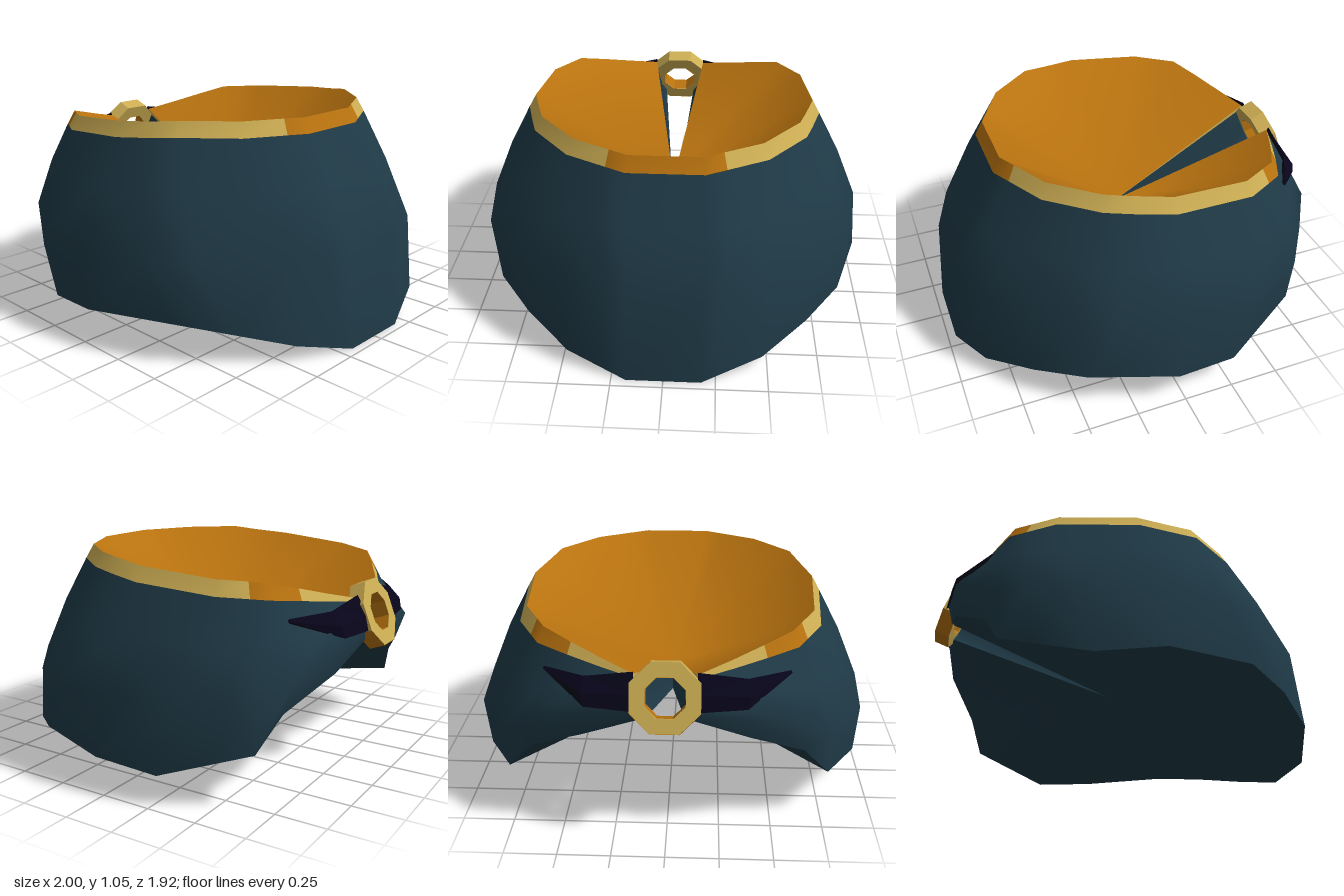
import * as THREE from 'three';
import { mergeVertices } from 'three/addons/utils/BufferGeometryUtils.js';

const mat = (name, color, side = THREE.FrontSide) => {
  const m = new THREE.MeshStandardMaterial({ color, side });
  m.name = name;
  return m;
};

// Left half, front to back slit: rim, widest part of the wall, bottom edge
const guides = [
  [[.17, 1.05, .63], [.18, .47, .92], [.18, 0, .96]],
  [[.44, 1.05, .49], [.47, .47, .82], [.47, .085, .86]],
  [[.62, 1.05, .28], [.79, .47, .55], [.69, .155, .67]],
  [[.66, 1.035, .15], [.925, .47, .34], [.865, .198, .455]],
  [[.71, 1.02, -.02], [.98, .47, -.02], [1, .18, .04]],
  [[.68, .99, -.40], [.955, .45, -.36], [.96, .145, -.27]],
  [[.565, .975, -.60], [.78, .50, -.67], [.77, .26, -.66]],
  [[.43, .937, -.68], [.64, .58, -.77], [.64, .42, -.725]],
  [[.29, .898, -.755], [.49, .67, -.86], [.38, .56, -.85]],
  [[.14, .86, -.83], [.12, .73, -.90], [.085, .67, -.88]],
];
const FUNNEL = new THREE.Vector3(0, .52, -.03);
const HOLLOW = new THREE.Vector3(0, .36, -.03);

// Full section: adds the trim's lower edge, which narrows to the slit, and a bulged upper wall
const half = guides.map((points, i) => {
  const [rim, wide, bottom] = points.map(p => new THREE.Vector3(...p));
  const width = Math.min(1, 1 - .26 * (i - 6));
  const trim = new THREE.Vector3(rim.x, 0, rim.z).setLength(.04 * width).add(rim);
  trim.y -= .07 * width;
  const bulge = trim.clone().lerp(wide, .45).multiply(new THREE.Vector3(1.015, 1, 1.015));
  return [rim, trim, bulge, wide, bottom];
});

// Extra section between two neighbours, where the trim changes colour
const between = (i, t) => half[i].map((p, k) => p.clone().lerp(half[i + 1][k], t));
const left = [half[0], between(0, .33), ...half.slice(1, 6), between(5, .63), ...half.slice(6)];
const mirror = p => new THREE.Vector3(-p.x, p.y, p.z);
const columns = [...left.map(c => c.map(mirror)).reverse(), ...left];
const ring = k => columns.map(c => c[k]);

// Smooth surface through rows of points, welded where points meet
function strip(rows) {
  const n = rows[0].length, index = [];
  for (let i = 0; i < rows.length - 1; i++) {
    for (let j = 0; j < n - 1; j++) {
      const a = i * n + j, b = a + n;
      index.push(a, b, a + 1, a + 1, b, b + 1);
    }
  }
  const g = new THREE.BufferGeometry().setFromPoints(rows.flat());
  g.setIndex(index);
  const welded = mergeVertices(g);
  welded.computeVertexNormals();
  return welded;
}

export function createModel() {
  const teal = mat('teal cloth', 0x1f3a47);
  const orange = mat('orange lining', 0xb8720f, THREE.DoubleSide);
  const gold = mat('gold trim', 0xcdae54);
  const navy = mat('navy ties', 0x08051a, THREE.DoubleSide);
  const model = new THREE.Group();
  const add = (name, geo, material, parent = model) => {
    const m = new THREE.Mesh(geo, material);
    m.name = name;
    parent.add(m);
    return m;
  };

  // Body: outer wall, funnel lining and hollow underside
  add('outerWall', strip([ring(1), ring(2), ring(3), ring(4)]), teal);
  add('lining', strip([columns.map(() => FUNNEL), ring(0)]), orange);
  add('underside', strip([ring(4), columns.map(() => HOLLOW)]), teal);

  // Walls of the back slit, edged in gold along the top
  const slitWall = (side, column, flip) => {
    const face = (points, ends) => strip(flip ? [ends, points] : [points, ends]);
    add('slitWall' + side, face(column.slice(1), [FUNNEL, FUNNEL, HOLLOW, HOLLOW]), teal);
    add('slitEdge' + side, face(column.slice(0, 2), [FUNNEL, FUNNEL]), gold);
  };
  slitWall('Right', columns[0], false);
  slitWall('Left', columns[columns.length - 1], true);

  // Rim trim in alternating gold and orange lengths
  const cuts = [0, 2, 4, 10, 13, 19, 21, 23];
  for (let i = 0; i < cuts.length - 1; i++) {
    const part = k => ring(k).slice(cuts[i], cuts[i + 1] + 1);
    add('rimTrim' + i, strip([part(0), part(1)]), i % 2 ? orange : gold);
  }

  // Octagonal clasp over the slit
  const clasp = new THREE.Group();
  clasp.name = 'clasp';
  clasp.position.set(0, .766, -.864);
  clasp.rotation.x = .37;
  model.add(clasp);
  const octagon = r => Array.from({ length: 8 }, (_, i) => {
    const a = (i + .5) * Math.PI / 4;
    return new THREE.Vector2(r * Math.cos(a), r * Math.sin(a));
  });
  const shape = new THREE.Shape(octagon(.169));
  shape.holes.push(new THREE.Path(octagon(.097)));
  const body = new THREE.ExtrudeGeometry(shape, { depth: .078, bevelEnabled: false });
  add('claspBody', body.translate(0, 0, -.039), gold, clasp);

  // Orange faces inside the clasp's hole and along its lower edge
  const band = (name, r, segments, start) => {
    const geo = new THREE.CylinderGeometry(r, r, .077, segments, 1, true, start, segments * Math.PI / 4)
      .rotateX(Math.PI / 2).toNonIndexed();
    geo.computeVertexNormals();
    add(name, geo, orange, clasp);
  };
  band('claspHole', .095, 8, Math.PI / 8);
  band('claspLowerEdge', .171, 3, -3 * Math.PI / 8);

  // Pointed ties, tapering from the clasp along the back
  const section = pts => [...pts, pts[0]].map(p => new THREE.Vector3(...p));
  const tie = strip([
    section([[.14, .875, -.84], [.14, .79, -.892], [.14, .715, -.91], [.14, .80, -.80]]),
    section([[.36, .835, -.81], [.37, .775, -.865], [.36, .72, -.88], [.36, .78, -.80]]),
    section([[.555, .825, -.70], [.56, .815, -.705], [.555, .805, -.70], [.55, .815, -.69]]),
  ]).toNonIndexed();
  tie.computeVertexNormals();
  add('tieLeft', tie, navy);
  add('tieRight', tie, navy).scale.x = -1;

  return model;
}
